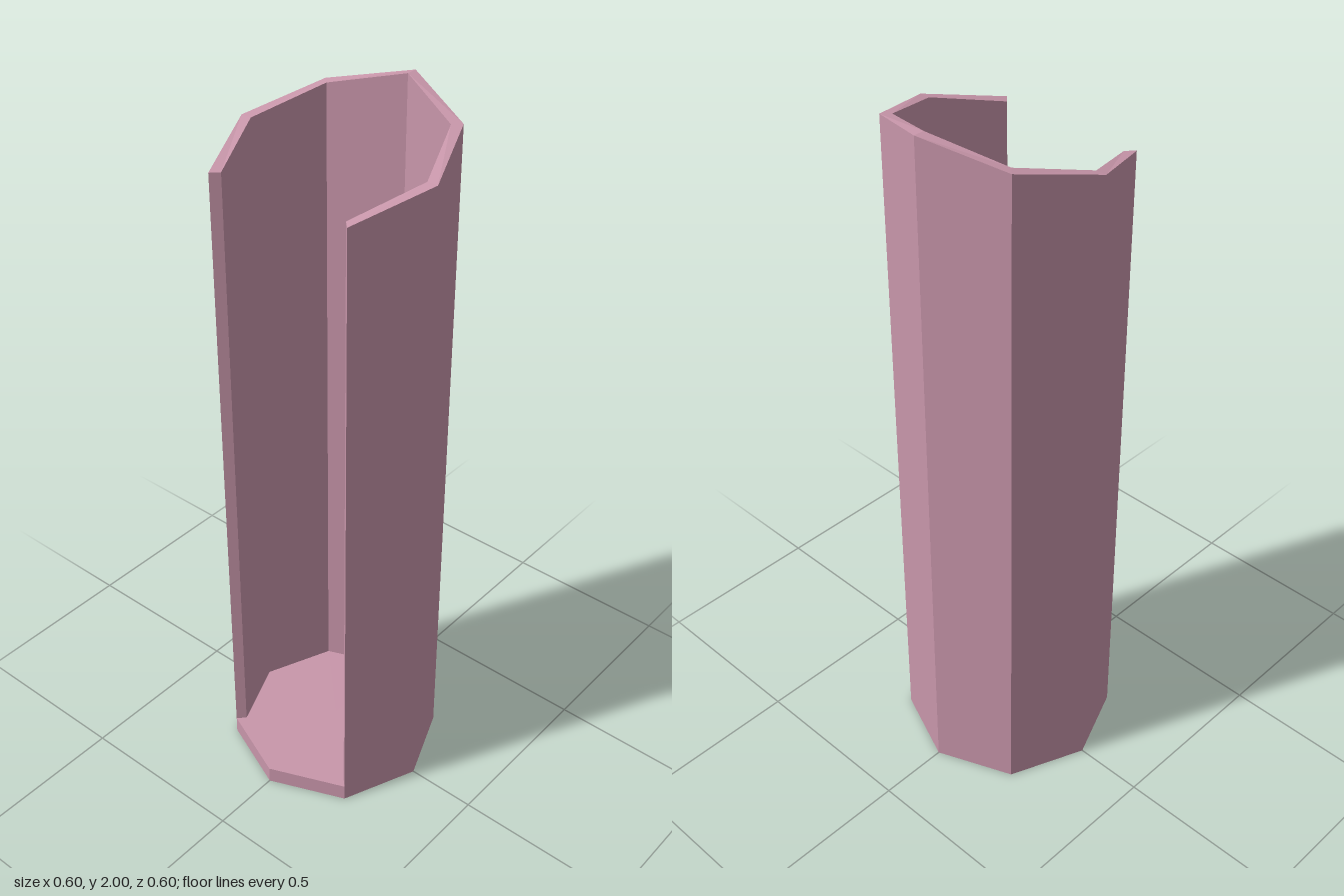
import * as THREE from 'three';

const OUTER = 0.3, INNER = 0.27, FLOOR = 0.05, SIDES = 8;

// Cross-section of the wall at octagon corner k (0 = front, 4 = back):
// outer bottom, outer top, inner top, inner bottom. The rim rises to the back.
function wallSection(k) {
  const angle = (k / SIDES) * Math.PI * 2;
  const top = 1.8 + 0.05 * Math.min(k, SIDES - k);
  const corner = (r, y) => [Math.sin(angle) * r, y, Math.cos(angle) * r];
  return [corner(OUTER, FLOOR), corner(OUTER, top), corner(INNER, top), corner(INNER, FLOOR)];
}

// Six-panel wall, open over the two front sides of the octagon
function wallGeometry() {
  const positions = [];
  const quad = (a, b, c, d) => positions.push(...a, ...b, ...c, ...a, ...c, ...d);
  const first = 1, last = SIDES - 1;
  for (let k = first; k < last; k++) {
    const s = wallSection(k), t = wallSection(k + 1);
    for (let j = 0; j < 4; j++) {
      const n = (j + 1) % 4;
      quad(s[j], t[j], t[n], s[n]);
    }
  }
  quad(...wallSection(first));
  quad(...wallSection(last).reverse());
  const geometry = new THREE.BufferGeometry();
  geometry.setAttribute('position', new THREE.Float32BufferAttribute(positions, 3));
  geometry.computeVertexNormals();
  return geometry;
}

export function createModel() {
  const group = new THREE.Group();
  group.name = 'octagonalBooth';
  const material = new THREE.MeshStandardMaterial({ color: 0xc896aa, flatShading: true });

  // Octagonal floor slab with a corner pointing forward
  const base = new THREE.Mesh(new THREE.CylinderGeometry(OUTER, OUTER, FLOOR, SIDES), material);
  base.name = 'base';
  base.position.y = FLOOR / 2;

  // Wall standing on the slab
  const wall = new THREE.Mesh(wallGeometry(), material);
  wall.name = 'wall';

  group.add(base, wall);
  return group;
}
